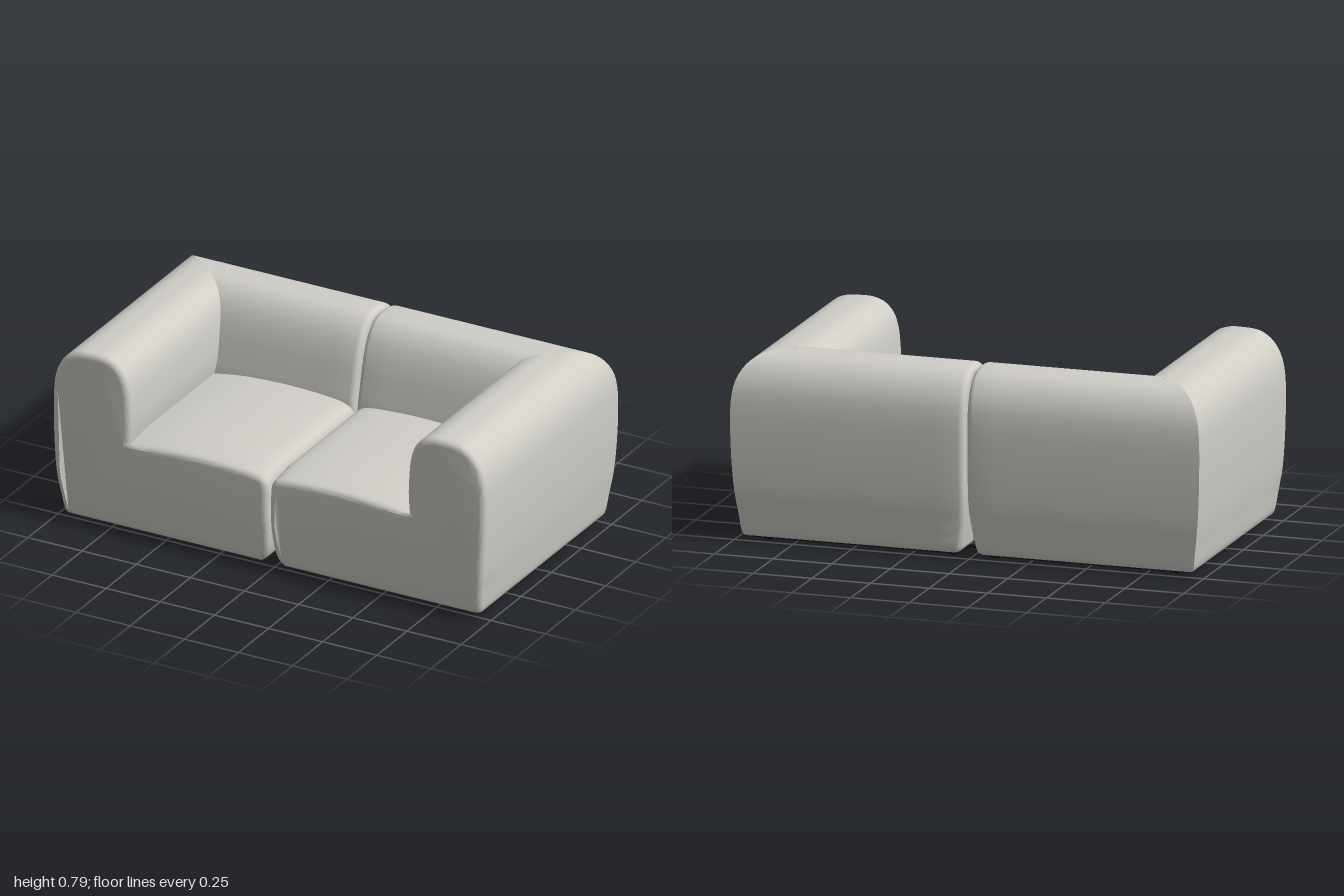
import * as THREE from 'three';
import { mergeVertices, toCreasedNormals } from 'three/addons/utils/BufferGeometryUtils.js';

const HALF_DEPTH = 0.555, SEAM = 0.004, BEVEL = 0.026;

// Outer half of the cushion profile: [inset from the outer face, height]
const OUTER = [[0.075, 0.02], [0.052, 0.024], [0.038, 0.042], [0.027, 0.12], [0.013, 0.22], [0.004, 0.35],
  [0, 0.5], [0.003, 0.6], [0.016, 0.67], [0.045, 0.727], [0.085, 0.764], [0.13, 0.781], [0.19, 0.785]];
const ARM_INNER = [[0.76, 0.783], [0.71, 0.765], [0.672, 0.725], [0.652, 0.67], [0.643, 0.6], [0.639, 0.5], [0.646, 0.43]];
const SEAT = [[0.646, 0.43], [0.5, 0.45], [0.3, 0.457], [0.12, 0.45], [0.05, 0.44], [0.02, 0.425], [0.006, 0.39],
  [0.004, 0.3], [0.004, 0.2], [0.012, 0.1], [0.028, 0.045], [0.055, 0.02]];
const BACK_INNER = [[-0.31, 0.776], [-0.262, 0.738], [-0.227, 0.68], [-0.2, 0.6], [-0.177, 0.5], [-0.162, 0.42], [-0.16, 0.3]];

const smooth = (pts, n) => new THREE.SplineCurve(pts.map(p => new THREE.Vector2(...p))).getPoints(n);
const tuck = y => 0.032 * Math.pow(THREE.MathUtils.clamp((0.24 - y) / 0.22, 0, 1), 1.5);

function extrude(points, length) {
  const g = new THREE.ExtrudeGeometry(new THREE.Shape(points), {
    depth: length - 2 * BEVEL, steps: 10, bevelEnabled: true, bevelSegments: 5,
    bevelSize: BEVEL, bevelThickness: BEVEL, bevelOffset: -BEVEL
  });
  g.translate(0, 0, BEVEL);
  return g;
}

// Weld, move vertices by a rule, mirror if needed, then smooth
function finish(geometry, rule, side) {
  geometry.deleteAttribute('normal');
  geometry.deleteAttribute('uv');
  geometry.clearGroups();
  const g = mergeVertices(geometry, 1e-5);
  const pos = g.attributes.position, v = new THREE.Vector3();
  for (let i = 0; i < pos.count; i++) {
    rule(v.fromBufferAttribute(pos, i));
    pos.setXYZ(i, v.x, v.y, v.z);
  }
  if (side < 0) {
    g.scale(-1, 1, 1);
    g.index.array.reverse();
  }
  return toCreasedNormals(g, 0.5);
}

// Arm and seat share one L-shaped front, mitred into the back at the rear corner
function armAndSeat(side) {
  const outline = [
    ...smooth([...OUTER.map(([d, y]) => [1 - d, y]), ...ARM_INNER], 52),
    ...smooth(SEAT, 30).slice(1)
  ];
  const g = extrude(outline, 1.2);
  g.translate(0, 0, HALF_DEPTH - 1.2);
  return finish(g, v => {
    if (v.z > 0.4) v.z -= tuck(v.y);
    // Seat crown rolls down toward the front edge
    if (v.x < 0.655 && v.y > 0.37 && v.y < 0.47) v.y -= 0.018 * THREE.MathUtils.smoothstep(v.z, 0.4, HALF_DEPTH);
    v.z = Math.max(v.z, -HALF_DEPTH + Math.min(1 - v.x, 0.19));
  }, side);
}

// Backrest runs along x from the centre seam to the corner mitre
function backrest(side) {
  const outline = smooth([...OUTER.map(([d, y]) => [HALF_DEPTH - d, y]), ...BACK_INNER.map(([z, y]) => [-z, y])], 52);
  outline.push(new THREE.Vector2(0.16, 0.02));
  const g = extrude(outline, 1.05);
  g.rotateY(Math.PI / 2);
  g.translate(SEAM, 0, 0);
  return finish(g, v => {
    if (v.x < 0.1) v.x += tuck(v.y);
    v.x = Math.min(v.x, 1 - Math.min(v.z + HALF_DEPTH, 0.19));
  }, side);
}

export function createModel() {
  const fabric = new THREE.MeshStandardMaterial({ color: 0xd0cec7 });
  fabric.name = 'warm grey fabric';
  const black = new THREE.MeshStandardMaterial({ color: 0x121212 });
  black.name = 'black plastic';

  const sofa = new THREE.Group();
  sofa.name = 'sofa';
  const add = (parent, name, geometry, material, x = 0, y = 0, z = 0) => {
    const m = new THREE.Mesh(geometry, material);
    m.name = name;
    m.position.set(x, y, z);
    parent.add(m);
  };

  const footGeometry = new THREE.CylinderGeometry(0.028, 0.023, 0.018, 20);
  for (const side of [1, -1]) {
    const half = new THREE.Group();
    half.name = side > 0 ? 'leftModule' : 'rightModule';
    sofa.add(half);
    add(half, 'armAndSeat', armAndSeat(side), fabric);
    add(half, 'backrest', backrest(side), fabric);
    add(half, 'basePanel', new THREE.BoxGeometry(0.85, 0.008, 0.97), black, side * 0.503, 0.018, 0);
    for (const x of [0.09, 0.87])
      for (const z of [-0.43, 0.43]) add(half, 'foot', footGeometry, black, side * x, 0.009, z);
  }

  // Clips that join the two modules underneath
  for (const z of [-0.345, 0.345])
    add(sofa, 'connector', new THREE.BoxGeometry(0.2, 0.009, 0.026), black, 0, 0.0145, z);
  return sofa;
}
